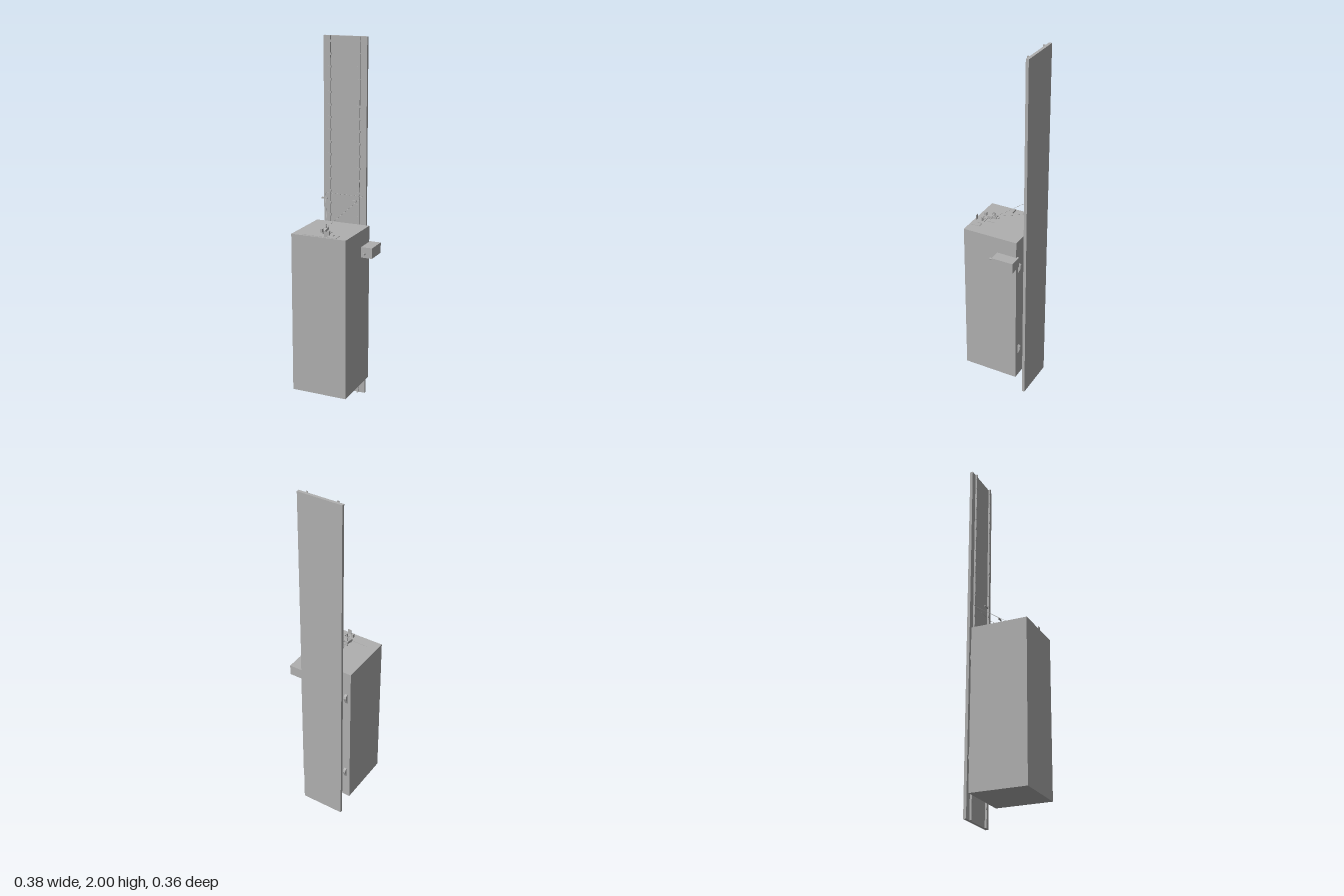
import * as THREE from 'three';

export function createModel() {
  const model = new THREE.Group();
  model.name = 'liftAssembly';
  const grey = new THREE.MeshStandardMaterial({ color: 0xb0b0b0 });
  grey.name = 'plain grey';

  const add = (name, geometry, parent = model) => {
    const mesh = new THREE.Mesh(geometry, grey);
    mesh.name = name;
    parent.add(mesh);
    return mesh;
  };
  // Box given by its lower and upper limits on each axis
  const box = (name, x0, x1, y0, y1, z0, z1, parent) => {
    const mesh = add(name, new THREE.BoxGeometry(x1 - x0, y1 - y0, z1 - z0), parent);
    mesh.position.set((x0 + x1) / 2, (y0 + y1) / 2, (z0 + z1) / 2);
    return mesh;
  };
  // Straight round rod between two points
  const rod = (name, a, b, radius, parent) => {
    const from = new THREE.Vector3(...a), to = new THREE.Vector3(...b);
    const dir = to.clone().sub(from);
    const mesh = add(name, new THREE.CylinderGeometry(radius, radius, dir.length(), 8), parent);
    mesh.position.copy(from).add(to).multiplyScalar(0.5);
    mesh.quaternion.setFromUnitVectors(new THREE.Vector3(0, 1, 0), dir.normalize());
    return mesh;
  };

  // Main masses
  box('backPanel', -0.157, 0.092, 0, 2, -0.178, -0.162);
  box('cabinet', -0.188, 0.124, 0.115, 1, -0.136, 0.177);
  box('sideBox', 0.114, 0.187, 0.853, 0.911, -0.147, -0.024);
  rod('sideBoxPin', [0.15, 0.88, -0.012], [0.15, 0.88, 0.007], 0.006);

  // Slim rails with regularly spaced clips
  for (const x of [-0.118, 0.052]) {
    const rail = new THREE.Group();
    rail.name = 'rail';
    model.add(rail);
    box('railWeb', x - 0.003, x + 0.003, 0, 2, -0.162, -0.152, rail);
    box('railFlange', x - 0.005, x + 0.005, 0, 2, -0.153, -0.15, rail);
    for (let i = 0; i < 30; i++) {
      const y = 0.03 + i * 0.067;
      box('railClip', x - 0.009, x + 0.009, y - 0.006, y + 0.006, -0.154, -0.149, rail);
    }
  }

  // Wedge-shaped brackets on the cabinet back
  const wedge = new THREE.Shape([
    new THREE.Vector2(0.136, -0.03), new THREE.Vector2(0.152, 0.008),
    new THREE.Vector2(0.149, 0.022), new THREE.Vector2(0.136, 0.03),
  ]);
  for (const x of [-0.161, 0.095]) {
    for (const y of [0.83, 0.293]) {
      const geo = new THREE.ExtrudeGeometry(wedge, { depth: 0.014, bevelEnabled: false });
      geo.rotateY(Math.PI / 2).translate(x - 0.007, y, 0);
      add('backBracket', geo);
    }
  }

  // Fine wires spreading to the rails, with cross plates
  const apex = [-0.033, 1.025, 0.07];
  const tips = [[-0.143, 1.154, -0.15], [0.078, 1.154, -0.15]];
  for (const tip of tips) rod('wire', apex, tip, 0.0009);
  rod('crossWire', tips[0], tips[1], 0.0007);
  for (const x of [-0.118, 0.052])
    box('crossPlate', x - 0.0165, x + 0.0165, 1.138, 1.146, -0.088, -0.082);

  // Control tray on the top
  box('tray', -0.13, 0.064, 0.999, 1.002, 0.117, 0.167);
  box('trayPlate', -0.004, 0.016, 1, 1.03, 0.162, 0.1645);
  box('trayPost', 0.001, 0.011, 1, 1.025, 0.126, 0.136);
  box('postArm', 0.003, 0.009, 1.019, 1.025, 0.112, 0.126);
  box('postCap', -0.002, 0.014, 1.025, 1.028, 0.122, 0.126);
  box('thinFin', -0.0045, -0.0035, 1, 1.003, 0.063, 0.105);
  box('thinFin', -0.0045, -0.0035, 1, 1.006, 0.119, 0.143);
  box('thinFin', 0.0355, 0.0365, 1, 1.006, 0.121, 0.143);

  // Small instrument head beside the tray
  const head = new THREE.Group();
  head.name = 'instrumentHead';
  model.add(head);
  const body = box('headBody', -0.043, -0.023, 1.008, 1.022, 0.083, 0.113, head);
  body.rotation.x = 0.2;
  box('headFoot', -0.037, -0.029, 1, 1.012, 0.108, 0.118, head);
  box('headFront', -0.042, -0.024, 1.012, 1.024, 0.062, 0.085, head);
  rod('headStub', [-0.033, 1.018, 0.05], [-0.033, 1.018, 0.063], 0.004, head);
  rod('headMast', [-0.033, 1.015, 0.076], [-0.033, 1.045, 0.076], 0.003, head);
  rod('headAxle', [-0.043, 1.026, 0.07], [-0.023, 1.026, 0.07], 0.004, head);
  rod('headLeg', [-0.033, 1.02, 0.08], [-0.044, 1, 0.1], 0.0015, head);
  rod('headLeg', [-0.033, 1.02, 0.08], [-0.022, 1, 0.1], 0.0015, head);
  box('headTower', -0.039, -0.027, 1.016, 1.034, 0.124, 0.14, head);
  return model;
}
